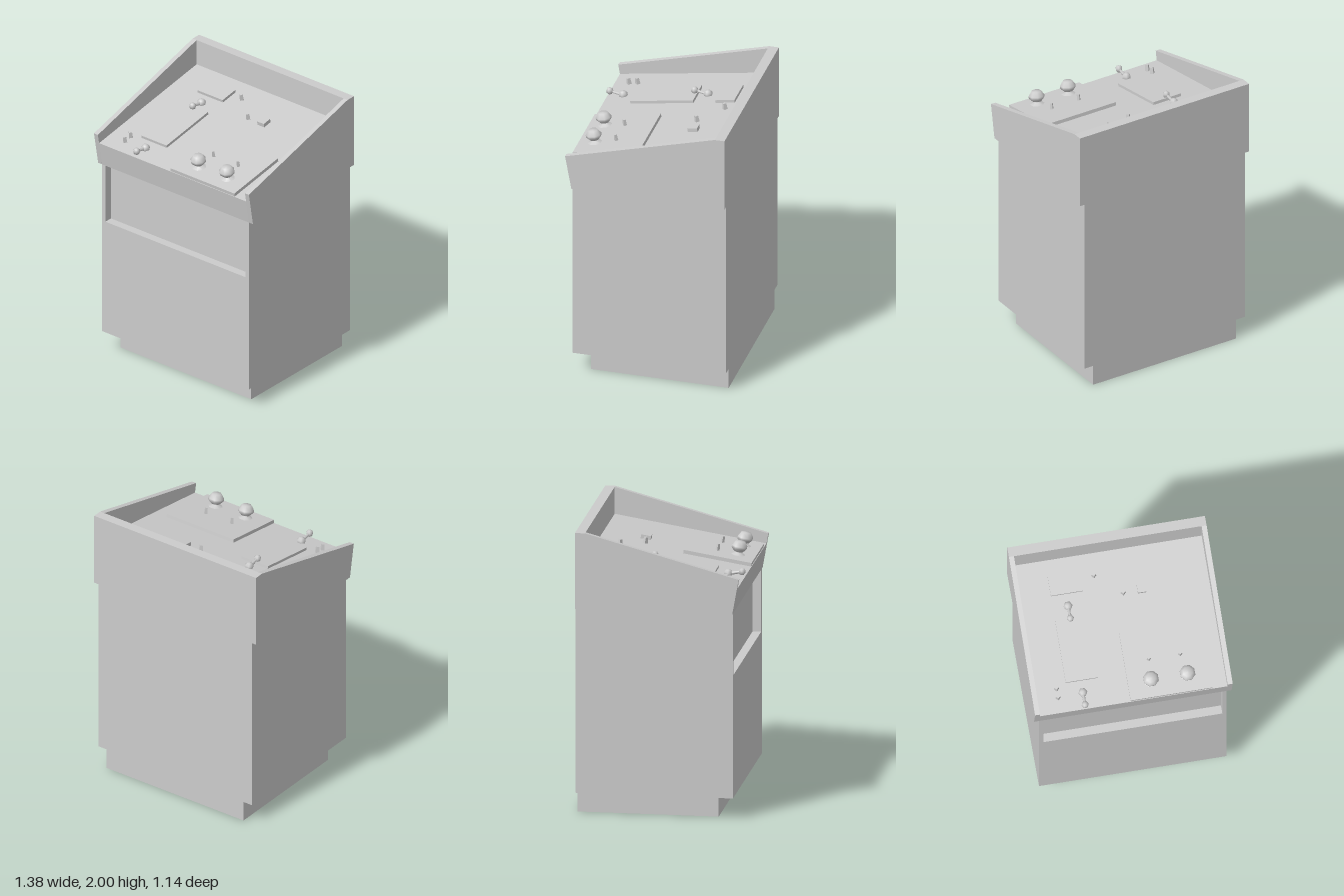
import * as THREE from 'three';

const grey = new THREE.MeshStandardMaterial({ color: 0xcccccc, flatShading: true });
const smooth = new THREE.MeshStandardMaterial({ color: 0xcccccc });
const thin = new THREE.MeshStandardMaterial({ color: 0xcccccc, flatShading: true, side: THREE.DoubleSide });

function add(parent, name, geometry, x = 0, y = 0, z = 0, material = grey) {
  const mesh = new THREE.Mesh(geometry, material);
  mesh.name = name;
  mesh.position.set(x, y, z);
  parent.add(mesh);
  return mesh;
}

function box(parent, name, x0, x1, y0, y1, z0, z1) {
  return add(parent, name, new THREE.BoxGeometry(x1 - x0, y1 - y0, z1 - z0),
    (x0 + x1) / 2, (y0 + y1) / 2, (z0 + z1) / 2);
}

const outline = (points) => new THREE.Shape(points.map(([a, b]) => new THREE.Vector2(a, b)));

// Side profile of [z, y] points, extruded across x and centred on x = 0
function sideExtrude(points, width) {
  return new THREE.ExtrudeGeometry(outline(points), { depth: width, bevelEnabled: false })
    .translate(0, 0, -width / 2).rotateY(-Math.PI / 2);
}

export function createModel() {
  const model = new THREE.Group();
  model.name = 'controlConsole';

  // Plinth: four walls, open underneath
  const plinth = new THREE.BoxGeometry(1.166, 0.15, 0.985);
  const faces = Array.from(plinth.index.array);
  plinth.setIndex([...faces.slice(0, 12), ...faces.slice(24)]);
  plinth.clearGroups();
  add(model, 'plinth', plinth, 0, 0.075, -0.0775, thin);

  // Cabinet with a shallow recess under the console
  box(model, 'cabinetBody', -0.655, 0.655, 0.15, 1.46, -0.57, 0.465);
  const front = outline([[-0.655, 0.15], [0.655, 0.15], [0.655, 1.46], [0.625, 1.46],
    [0.625, 1.02], [-0.625, 1.02], [-0.625, 1.46], [-0.655, 1.46]]);
  add(model, 'cabinetFront',
    new THREE.ExtrudeGeometry(front, { depth: 0.06, bevelEnabled: false }), 0, 0, 0.465);

  // Sloped console with a back rim and two side cheeks
  add(model, 'consoleBody', sideExtrude([[-0.57, 1.46], [0.525, 1.46], [0.557, 1.64],
    [-0.5, 1.81], [-0.5, 2], [-0.57, 2]], 1.31));
  const cheek = sideExtrude([[-0.57, 1.46], [0.525, 1.46], [0.57, 1.71], [-0.5, 2], [-0.57, 2]], 0.035);
  for (const s of [-1, 1]) add(model, s > 0 ? 'leftCheek' : 'rightCheek', cheek, s * 0.6725);

  // Controls share a tilted frame whose origin is the front edge of the deck
  const tilt = Math.atan2(0.17, 1.057);
  const deck = new THREE.Group();
  deck.name = 'controls';
  deck.position.set(0, 1.64, 0.557);
  deck.rotation.x = tilt;
  model.add(deck);
  const along = (z) => (z - 0.557) / Math.cos(tilt);

  // Raised plates and a small button: x0, x1, z0, z1, height
  for (const [name, x0, x1, z0, z1, h] of [
    ['upperPlate', -0.44, -0.215, -0.388, -0.25, 0.02],
    ['lowerPlate', -0.44, -0.215, -0.092, 0.358, 0.02],
    ['joystickPlate', -0.02, 0.55, 0.081, 0.553, 0.025],
    ['squareButton', 0.155, 0.215, -0.243, -0.174, 0.028],
  ]) box(deck, name, x0, x1, 0, h, along(z0), along(z1));

  // Four-sided toggle switches: x, z, base height, radius
  for (const [x, z, y, r] of [
    [-0.125, -0.345, 0, 0.019], [0.055, -0.195, 0, 0.019],
    [-0.51, 0.388, 0, 0.019], [-0.51, 0.45, 0, 0.019],
    [0.15, 0.29, 0.025, 0.015], [0.37, 0.29, 0.025, 0.015],
  ]) add(deck, 'toggle', new THREE.CylinderGeometry(r * 0.75, r, 0.044, 4), x, y + 0.022, along(z));

  // Joysticks: flared foot, thin neck and flattened eight-sided knob
  const knob = new THREE.LatheGeometry([[0.05, 0], [0.018, 0.016], [0.018, 0.022], [0.034, 0.024],
    [0.055, 0.047], [0.055, 0.064], [0.034, 0.095], [0, 0.097]]
    .map(([r, y]) => new THREE.Vector2(r, y)), 8, Math.PI / 8);
  for (const x of [0.14, 0.395]) add(deck, 'joystick', knob, x, 0.025, along(0.436), smooth);

  // Levers: ball pivot, slim arm and ball grip leaning forward
  for (const z of [-0.165, 0.442]) {
    const lever = new THREE.Group();
    lever.name = 'lever';
    lever.position.set(-0.335, 0.006, along(z));
    deck.add(lever);
    add(lever, 'leverPivot', new THREE.SphereGeometry(0.033, 6, 5), 0, 0, 0, smooth);
    add(lever, 'leverGrip', new THREE.SphereGeometry(0.026, 6, 5), 0, 0.032, 0.093, smooth);
    const arm = add(lever, 'leverArm', new THREE.CylinderGeometry(0.009, 0.013, 0.098, 6), 0, 0.016, 0.0465, smooth);
    arm.rotation.x = Math.atan2(0.093, 0.032);
  }
  return model;
}
